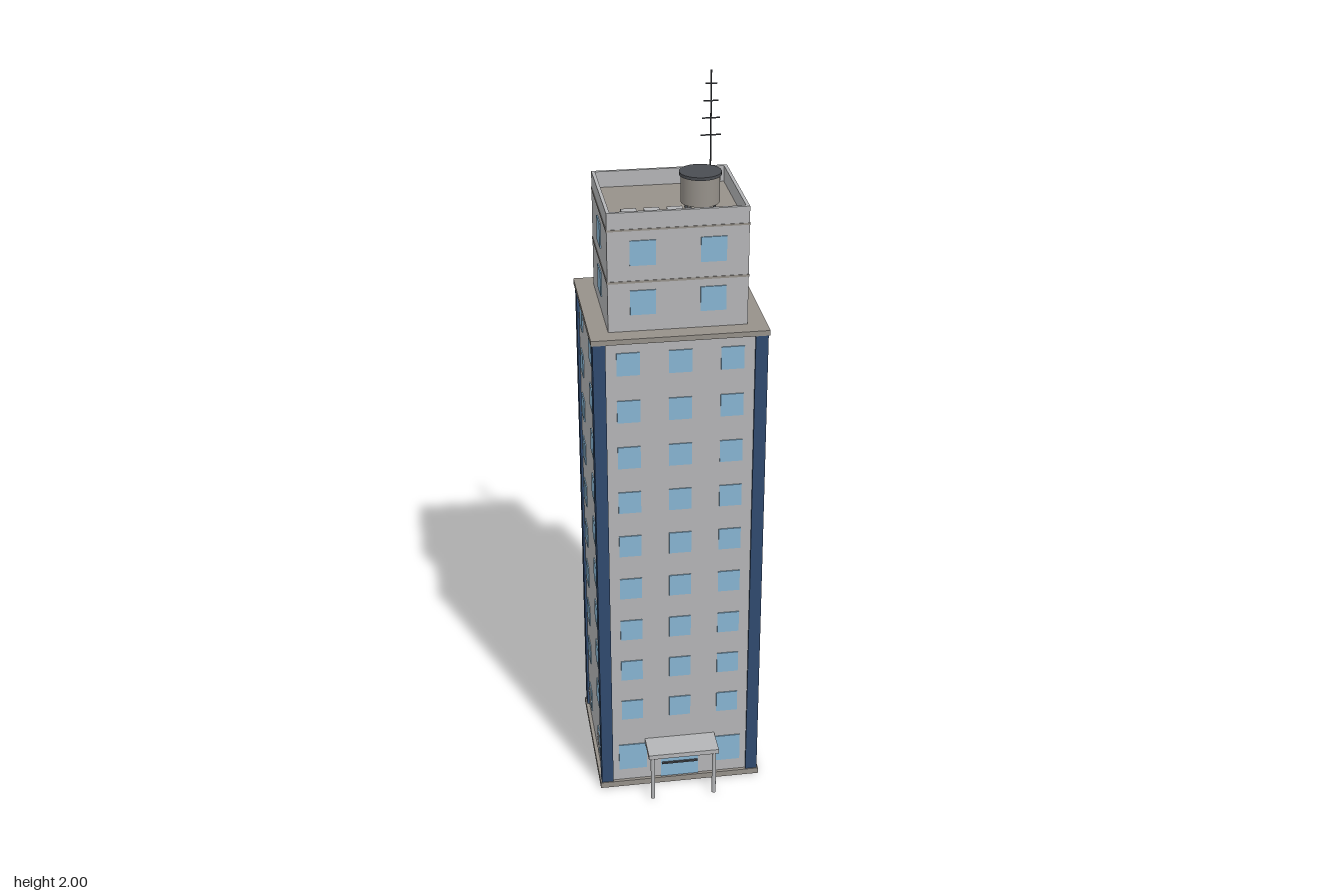
import * as THREE from 'three';

const mat = (name, color) => {
  const m = new THREE.MeshStandardMaterial({ color });
  m.name = name;
  return m;
};

export function createModel() {
  const wall = mat('pale concrete', 0xb4b5b7);
  const stone = mat('brown grey stone', 0x96918a);
  const glass = mat('window blue', 0x87b4d2);
  const navy = mat('navy cladding', 0x304a6e);
  const dark = mat('dark metal', 0x4a4d52);

  const model = new THREE.Group();
  model.name = 'towerBlock';

  const add = (parent, name, geometry, material, x, y, z) => {
    const mesh = new THREE.Mesh(geometry, material);
    mesh.name = name;
    mesh.position.set(x, y, z);
    parent.add(mesh);
    return mesh;
  };
  const box = (parent, name, material, w, h, d, x, y, z) =>
    add(parent, name, new THREE.BoxGeometry(w, h, d), material, x, y, z);
  const cyl = (parent, name, material, r, h, x, y, z, sides = 32) =>
    add(parent, name, new THREE.CylinderGeometry(r, r, h, sides), material, x, y, z);

  // Everything but the porch sits on the tower's own axis
  const tower = new THREE.Group();
  tower.name = 'tower';
  tower.position.z = -0.037;
  model.add(tower);

  // Four facade groups; local +z faces outwards
  const facades = (name, halfW, halfD) =>
    ['Front', 'Right', 'Back', 'Left'].map((side, i) => {
      const g = new THREE.Group();
      g.name = name + side;
      g.rotation.y = i * Math.PI / 2;
      const reach = i % 2 ? halfW : halfD;
      g.position.set(Math.sin(g.rotation.y) * reach, 0, Math.cos(g.rotation.y) * reach);
      tower.add(g);
      return g;
    });

  // Shaft between two slabs, with clad corners
  box(tower, 'baseSlab', stone, 0.46, 0.018, 0.423, 0, 0.009, 0);
  box(tower, 'shaft', wall, 0.44, 1.38, 0.405, 0, 0.707, 0);
  box(tower, 'roofSlab', stone, 0.46, 0.014, 0.423, 0, 1.402, 0);
  for (const sx of [-1, 1]) for (const sz of [-1, 1])
    box(tower, 'cornerColumn', navy, 0.033, 1.379, 0.033, sx * 0.2095, 0.7065, sz * 0.1925);

  // Regular windows on nine upper floors, plus the ground floor
  facades('shaft', 0.22, 0.2025).forEach((f, i) => {
    const columns = i % 2 ? [-0.11, 0.11] : [-0.135, 0, 0.135];
    for (const x of columns) {
      for (let row = 0; row < 9; row++)
        box(f, 'window', glass, 0.06, 0.063, 0.004, x, 0.262 + row * 0.1343, 0.001);
      if (i === 0) continue;
      box(f, 'groundWindow', glass, 0.06, 0.066, 0.004, x, 0.093, 0.001);
      box(f, 'mullion', wall, 0.005, 0.066, 0.005, x, 0.093, 0.003);
      box(f, 'transom', wall, 0.06, 0.005, 0.005, x, 0.093, 0.003);
    }
    if (i === 0) {
      for (const x of [-0.135, 0.135])
        box(f, 'shopWindow', glass, 0.08, 0.085, 0.004, x, 0.098, 0.001);
      box(f, 'entranceDoor', glass, 0.108, 0.122, 0.004, 0, 0.079, 0.001);
      box(f, 'doorBar', dark, 0.104, 0.005, 0.006, 0, 0.066, 0.005);
    }
  });

  // Two-storey penthouse with a hollow parapet
  const floorY = 1.68;
  box(tower, 'penthouse', wall, 0.36, floorY - 1.409, 0.325, 0, (floorY + 1.409) / 2, 0);
  box(tower, 'roofFloor', stone, 0.342, 0.004, 0.307, 0, floorY + 0.002, 0);
  for (const s of [-1, 1]) {
    box(tower, 'parapetLong', wall, 0.36, 0.047, 0.009, 0, floorY + 0.0235, s * 0.158);
    box(tower, 'parapetSide', wall, 0.009, 0.047, 0.307, s * 0.1755, floorY + 0.0235, 0);
  }
  box(tower, 'floorBand', stone, 0.363, 0.006, 0.328, 0, 1.543, 0);
  facades('penthouse', 0.18, 0.1625).forEach((f, i) => {
    box(f, 'parapetBand', stone, i % 2 ? 0.328 : 0.363, 0.005, 0.003, 0, 1.681, 0);
    for (const x of i % 2 ? [0] : [-0.09, 0.09])
      for (const y of [1.487, 1.62])
        box(f, 'penthouseWindow', glass, 0.066, 0.066, 0.004, x, y, 0.001);
  });

  // Water tank on four legs
  const tank = new THREE.Group();
  tank.name = 'waterTank';
  tank.position.set(0.071, floorY, 0.025);
  model.add(tank);
  cyl(tank, 'tankBody', stone, 0.05, 0.072, 0, 0.067, 0);
  cyl(tank, 'tankLid', dark, 0.054, 0.008, 0, 0.106, 0);
  for (const sx of [-1, 1]) for (const sz of [-1, 1])
    cyl(tank, 'tankLeg', dark, 0.004, 0.034, sx * 0.031, 0.017, sz * 0.031, 8);

  // Row of air conditioners with fans at the front
  for (const x of [-0.118, -0.06, -0.002]) {
    box(model, 'airConditioner', wall, 0.039, 0.03, 0.025, x, floorY + 0.021, 0.0795);
    cyl(model, 'fan', dark, 0.012, 0.018, x, floorY + 0.016, 0.092, 16);
  }

  // Aerial with crossbars
  cyl(model, 'aerialMast', dark, 0.002, 0.32, 0.125, 1.84, -0.136, 8);
  [0.054, 0.046, 0.038, 0.03].forEach((w, i) =>
    box(model, 'aerialBar', dark, w, 0.003, 0.003, 0.125, 1.83 + i * 0.045, -0.136));

  // Entrance porch
  box(model, 'porchRoof', wall, 0.2, 0.014, 0.082, 0, 0.148, 0.206);
  for (const s of [-1, 1])
    cyl(model, 'porchPost', wall, 0.006, 0.142, s * 0.088, 0.071, 0.238, 12);

  return model;
}
